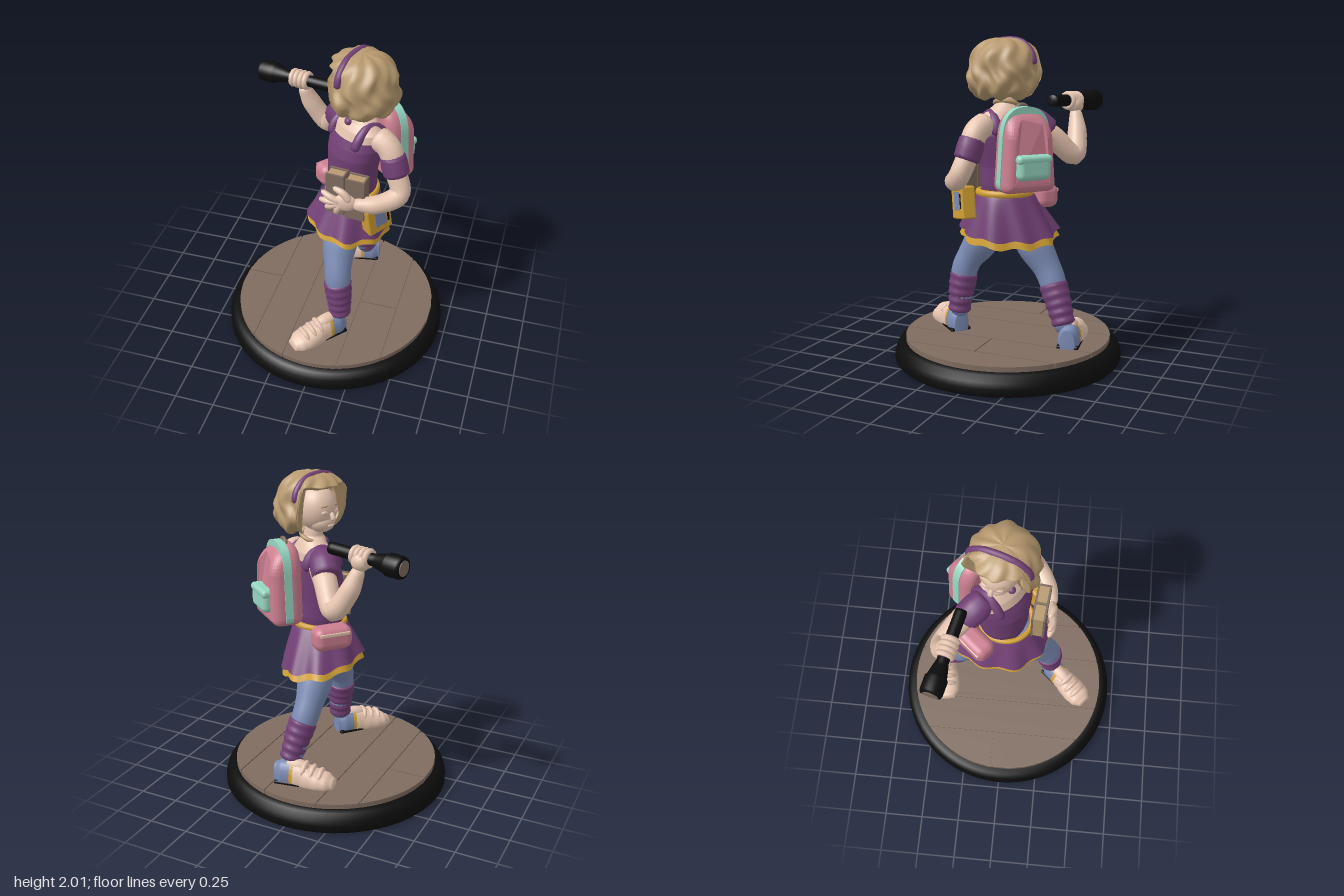
import * as THREE from 'three';
import { mergeVertices } from 'three/addons/utils/BufferGeometryUtils.js';
import { RoundedBoxGeometry } from 'three/addons/geometries/RoundedBoxGeometry.js';
import { ParametricGeometry } from 'three/addons/geometries/ParametricGeometry.js';

const paint = (name, color) => Object.assign(
  new THREE.MeshStandardMaterial({ color, side: THREE.DoubleSide }), { name });
const purple = paint('purple', 0x724075), blue = paint('denim blue', 0x7a8ab2), skin = paint('skin', 0xe6c5b0),
  hairTan = paint('hair tan', 0xb89a70), pink = paint('pink', 0xcc7f90), mint = paint('mint', 0x96d6c0),
  yellow = paint('yellow', 0xd3a133), brown = paint('wood brown', 0x7f6c60), black = paint('black', 0x0c0c0c);

const V = (p) => new THREE.Vector3(...p);
function add(parent, name, geo, mat, pos = [0, 0, 0], rot = [0, 0, 0], scale = [1, 1, 1]) {
  const m = new THREE.Mesh(geo, mat);
  m.name = name;
  m.position.set(...pos); m.rotation.set(...rot); m.scale.set(...scale);
  parent.add(m);
  return m;
}
function group(parent, name, pos, yaw) {
  const g = new THREE.Group();
  g.name = name; g.position.set(...pos); g.rotation.y = yaw;
  parent.add(g);
  return g;
}
// Smooth closed surface: u runs around, v runs along
function surface(fn, nu, nv) {
  const g = new ParametricGeometry(fn, nu, nv);
  g.deleteAttribute('uv'); g.deleteAttribute('normal');
  const m = mergeVertices(g, 1e-5);
  m.computeVertexNormals();
  return m;
}
// Value at t from an evenly spaced list, eased between entries
function mix(list, t) {
  const k = Math.min(t, 0.9999) * (list.length - 1), i = Math.floor(k), f = k - i;
  return list[i] + (list[i + 1] - list[i]) * f * f * (3 - 2 * f);
}
// Round-ended tube of changing thickness
function limb(points, radii, n = 24, sides = 16) {
  const curve = new THREE.CatmullRomCurve3(points.map(V));
  const fr = curve.computeFrenetFrames(n), c = curve.getSpacedPoints(n);
  return surface((u, v, p) => {
    const k = Math.round(v * n), e = 1 - Math.min(k, n - k, 2) / 2;
    const r = mix(radii, v) * Math.sqrt(1 - e * e), a = u * Math.PI * 2;
    p.copy(c[k]).addScaledVector(fr.normals[k], r * Math.cos(a)).addScaledVector(fr.binormals[k], r * Math.sin(a));
  }, sides, n);
}
// Stacked ellipses: rows of [y, half width, half depth, side shift, depth shift]
function stack(rows, n = 24) {
  const col = (i, v) => mix(rows.map((r) => r[i]), v);
  return surface((u, v, p) => {
    const a = u * Math.PI * 2;
    p.set(col(3, v) + col(1, v) * Math.sin(a), col(0, v), col(4, v) + col(2, v) * Math.cos(a));
  }, 32, n);
}

function buildBase(g) {
  const rim = [[0, 0], [0.7, 0], [0.714, 0.015], [0.714, 0.05], [0.705, 0.085], [0.68, 0.122], [0.64, 0.127], [0, 0.127]];
  add(g, 'baseRim', new THREE.LatheGeometry(rim.map((p) => new THREE.Vector2(...p)), 72), black);
  add(g, 'floorBed', new THREE.CylinderGeometry(0.64, 0.64, 0.027, 64), brown, [0, 0.138, 0]);
  const R = 0.645, gap = 0.004;
  const planks = [[-0.645, -0.4, -1, -0.06], [-0.645, -0.4, -0.06, 1], [-0.4, -0.17, -1, 1], [-0.17, 0.18, -1, 1],
    [0.18, 0.43, -1, 0.03], [0.18, 0.43, 0.03, 1], [0.43, 0.645, -1, 1]];
  for (const [x0, x1, z0, z1] of planks) {
    const edge = (s) => Array.from({ length: 13 }, (_, i) => {
      const x = x0 + gap + (x1 - x0 - 2 * gap) * i / 12;
      const z = THREE.MathUtils.clamp(s * Math.sqrt(R * R - x * x), z0 + gap, z1 - gap);
      return new THREE.Vector2(x, -z);
    });
    const shape = new THREE.Shape([...edge(1), ...edge(-1).reverse()]);
    add(g, 'plank', new THREE.ExtrudeGeometry(shape, { depth: 0.03, bevelEnabled: false }), brown, [0, 0.13, 0], [-Math.PI / 2, 0, 0]);
  }
}

// Shoe with toe along +z, split into colour bands
function buildShoe(g, name, pos, yaw) {
  const s = group(g, name, pos, yaw);
  const W = [0.045, 0.066, 0.066, 0.07, 0.08, 0.084, 0.078, 0.045], H = [0.12, 0.14, 0.14, 0.135, 0.115, 0.095, 0.08, 0.05];
  const band = (part, z0, z1, mat, grow) => add(s, part, surface((u, v, p) => {
    const e = v < 0.04 || v > 0.96 ? 0 : 1, z = z0 + (z1 - z0) * THREE.MathUtils.clamp((v - 0.04) / 0.92, 0, 1);
    const t = (z + 0.18) / 0.38, a = -u * Math.PI * 2, c = Math.cos(a), q = Math.sin(a);
    p.set(e * grow * mix(W, t) * Math.sign(c) * Math.abs(c) ** 0.8, e * Math.max(0, grow * mix(H, t) * (0.3 + 0.7 * q)), z);
  }, 24, 24), mat);
  band('shoeHeel', -0.18, -0.07, blue, 1);
  band('shoeStripe', -0.075, -0.055, yellow, 1.015);
  band('shoeToe', -0.06, 0.2, skin, 1);
  add(s, 'shoeTongue', limb([[0, 0.125, -0.11], [0, 0.115, -0.04], [0, 0.095, 0.04]], [0.036, 0.042, 0.035], 14, 14), skin);
  add(s, 'shoeSole', new RoundedBoxGeometry(0.134, 0.022, 0.17, 2, 0.009), black, [0, 0.009, -0.087]);
  for (let i = 0; i < 3; i++) {
    const z = 0.005 + i * 0.05, y = 0.125 - i * 0.016;
    add(s, 'shoeStrap', limb([[-0.065, y - 0.045, z], [-0.03, y, z + 0.01], [0.03, y, z + 0.01], [0.065, y - 0.045, z]],
      [0.013, 0.016, 0.013], 10, 8), skin);
  }
}

function buildLegs(g) {
  add(g, 'leftLeg', limb([[0.09, 0.92, 0.04], [0.07, 0.74, 0.155], [0.085, 0.59, 0.25], [0.1, 0.43, 0.275], [0.11, 0.24, 0.29]],
    [0.1, 0.11, 0.084, 0.075, 0.055]), blue);
  add(g, 'rightLeg', limb([[0.06, 0.92, -0.09], [0.045, 0.74, -0.2], [0.05, 0.58, -0.3], [0.08, 0.42, -0.365], [0.11, 0.22, -0.43]],
    [0.1, 0.108, 0.084, 0.072, 0.055]), blue);
  const ribs = [0.082, 0.088, 0.084, 0.087, 0.079, 0.082, 0.073, 0.077, 0.068, 0.072, 0.064];
  add(g, 'leftLegWarmer', limb([[0.085, 0.545, 0.262], [0.1, 0.42, 0.278], [0.11, 0.28, 0.29]], ribs, 40), purple);
  add(g, 'rightLegWarmer', limb([[0.06, 0.53, -0.322], [0.085, 0.41, -0.372], [0.11, 0.28, -0.42]], ribs, 40), purple);
  buildShoe(g, 'leftShoe', [0.005, 0.158, 0.4], -0.73);
  buildShoe(g, 'rightShoe', [0.01, 0.158, -0.435], -1.4);
}

function buildSkirt(g) {
  // Flared cone with folds, hanging lower and straighter at the back
  const flare = (bottom, grow) => surface((u, v, p) => {
    const a = u * Math.PI * 2, w = 1 - v, back = Math.max(0, Math.cos(a - 2.36)) ** 3;
    const f = (0.147 + 0.04 * Math.sqrt(w) + 0.082 * w + 0.012 * w * Math.sin(9 * a) + 0.006 * w * Math.sin(5 * a + 1) - 0.035 * w * back) * grow;
    const x = 0.1 - 0.015 * w + f * Math.sin(a) * (1 - 0.05 * w), z = -0.02 - 0.03 * w + f * Math.cos(a) * (1.04 + 0.1 * w);
    p.set(x, 1.09 + (bottom - 1.09) * w + w * (0.05 * z - 0.12 * (x - 0.08) + 0.008 * Math.cos(9 * a) - 0.01 * back), z);
  }, 96, 14);
  add(g, 'skirt', flare(0.85, 1), purple);
  add(g, 'skirtHem', flare(0.805, 0.985), yellow);
  add(g, 'belt', new THREE.TorusGeometry(0.153, 0.016, 10, 40), yellow, [0.1, 1.075, -0.02], [Math.PI / 2, 0.04, 0], [1, 1.06, 1.4]);
}

function buildTorso(g) {
  const t = group(g, 'torso', [0.11, 0, -0.05], -0.686);
  add(t, 'bodice', stack([[1.04, 0.145, 0.135, 0, 0.02], [1.13, 0.161, 0.146, 0, 0.02], [1.24, 0.165, 0.145, 0, 0.02],
    [1.36, 0.182, 0.15, 0.01, 0.015], [1.43, 0.19, 0.14, 0.012, 0.005], [1.485, 0.184, 0.122, 0.012, 0]]), purple);
  add(t, 'shouldersAndNeck', stack([[1.36, 0.165, 0.125, 0.01, 0.005], [1.45, 0.185, 0.12, 0.012, 0], [1.53, 0.178, 0.105, 0.015, -0.01],
    [1.575, 0.125, 0.08, 0.015, -0.015], [1.62, 0.06, 0.058, 0.015, -0.01], [1.72, 0.052, 0.054, 0.015, 0]]), skin);
  for (const s of [-1, 1]) {
    add(t, 'dressStrap', limb([[0.012 + s * 0.115, 1.43, 0.108], [0.012 + s * 0.12, 1.51, 0.074], [0.012 + s * 0.108, 1.56, -0.01],
      [0.012 + s * 0.115, 1.51, -0.088], [0.012 + s * 0.12, 1.43, -0.108]], [0.03, 0.028, 0.028, 0.03, 0.03], 20, 10), purple);
  }
  add(g, 'choker', new THREE.TorusGeometry(0.073, 0.013, 10, 32), hairTan, [0.13, 1.61, -0.05], [Math.PI / 2, 0.38, 0]);
  add(g, 'pendant', new THREE.SphereGeometry(0.024, 14, 10), purple, [0.08, 1.572, 0.015]);

  // Backpack, its outer face curving in towards the top
  const pack = group(t, 'backpack', [0.015, 1.12, -0.29], 0);
  const sh = new THREE.Shape();
  sh.moveTo(-0.12, 0); sh.lineTo(0.12, 0); sh.quadraticCurveTo(0.168, 0, 0.168, 0.05); sh.lineTo(0.15, 0.32);
  sh.bezierCurveTo(0.138, 0.45, 0.08, 0.485, 0, 0.485); sh.bezierCurveTo(-0.08, 0.485, -0.138, 0.45, -0.15, 0.32);
  sh.lineTo(-0.168, 0.05); sh.quadraticCurveTo(-0.168, 0, -0.12, 0);
  const body = new THREE.ExtrudeGeometry(sh, { depth: 0.08, bevelThickness: 0.06, bevelSize: 0.055, bevelOffset: -0.055, bevelSegments: 7, curveSegments: 16 });
  const bp = body.attributes.position;
  for (let i = 0; i < bp.count; i++) {
    if (bp.getZ(i) < 0.04) bp.setZ(i, bp.getZ(i) + 3 * Math.max(0, bp.getY(i) - 0.3) ** 2);
  }
  body.computeVertexNormals();
  add(pack, 'packBody', body, pink, [0, 0, 0.015]);
  add(pack, 'packTrim', new THREE.ExtrudeGeometry(sh, { depth: 0.048, bevelEnabled: false, curveSegments: 16 }), mint, [0, 0.008, 0.03], [0, 0, 0], [1.03, 1, 1]);
  add(pack, 'packPocket', new RoundedBoxGeometry(0.21, 0.14, 0.085, 5, 0.035), mint, [0, 0.15, -0.045]);
  add(pack, 'packPocketFlap', new RoundedBoxGeometry(0.22, 0.05, 0.09, 4, 0.022), mint, [0, 0.2, -0.045]);
  add(pack, 'packHandle', new THREE.TorusGeometry(0.04, 0.013, 8, 20, Math.PI), brown, [0, 0.46, 0.09]);
}

function buildArms(g) {
  // Raised right arm
  add(g, 'rightArm', limb([[0.03, 1.48, -0.15], [-0.06, 1.41, -0.26], [-0.165, 1.29, -0.37], [-0.25, 1.4, -0.36], [-0.31, 1.56, -0.325]],
    [0.075, 0.07, 0.064, 0.06, 0.038], 36), skin);
  add(g, 'rightSleeve', limb([[0.05, 1.525, -0.12], [-0.01, 1.49, -0.18], [-0.065, 1.425, -0.25]], [0.07, 0.088, 0.085], 14), purple);
  // Flashlight with the hand wrapped around it
  const tail = V([-0.09, 1.62, -0.25]), tip = V([-0.582, 1.597, -0.365]);
  const light = group(g, 'flashlight', tail.toArray(), 0);
  light.quaternion.setFromUnitVectors(V([0, 1, 0]), tip.clone().sub(tail).normalize());
  const prof = [[0, 0], [0.034, 0], [0.036, 0.02], [0.036, 0.31], [0.044, 0.34], [0.058, 0.4], [0.066, 0.41], [0.066, 0.49], [0.06, 0.507], [0, 0.507]];
  add(light, 'flashlightBody', new THREE.LatheGeometry(prof.map((p) => new THREE.Vector2(...p)), 28), black);
  add(light, 'flashlightLens', new THREE.CylinderGeometry(0.045, 0.045, 0.006, 24), brown, [0, 0.508, 0]);
  for (let i = 0; i < 4; i++) {
    add(light, 'rightFinger', new THREE.TorusGeometry(0.042, 0.017, 8, 20), skin, [0, 0.18 + i * 0.031, 0], [Math.PI / 2, 0, i * 0.05]);
  }
  add(g, 'rightPalm', new THREE.SphereGeometry(0.055, 18, 14), skin, [-0.31, 1.585, -0.325], [0, -0.2, 0], [1.05, 1, 0.9]);

  // Left arm folded across the books
  add(g, 'leftArm', limb([[0.24, 1.51, 0.02], [0.335, 1.46, 0.055], [0.385, 1.33, 0.085], [0.425, 1.2, 0.13], [0.32, 1.16, 0.21], [0.17, 1.165, 0.26]],
    [0.075, 0.072, 0.064, 0.062, 0.056, 0.036], 36), skin);
  add(g, 'leftSleeve', limb([[0.355, 1.44, 0.068], [0.375, 1.37, 0.077], [0.4, 1.29, 0.095]], [0.074, 0.08, 0.077], 14), purple);
  add(g, 'leftPalm', new THREE.SphereGeometry(0.058, 18, 14), skin, [0.13, 1.165, 0.258], [0, 0.1, 0], [1.25, 1, 0.5]);
  for (const [x, y] of [[-0.02, 1.22], [-0.035, 1.155], [0.005, 1.1], [0.07, 1.065]]) {
    add(g, 'leftFinger', limb([[0.11, 1.165, 0.262], [(x + 0.1) / 2, (y + 1.175) / 2, 0.268], [x, y, 0.245]], [0.024, 0.021, 0.015], 12, 8), skin);
  }
  add(g, 'leftThumb', limb([[0.16, 1.18, 0.262], [0.12, 1.235, 0.265], [0.05, 1.255, 0.245]], [0.026, 0.022, 0.015], 12, 8), skin);
  const books = group(g, 'books', [0.125, 1.175, 0.19], -0.1);
  [[-0.065, 0.115, 0.01], [0.06, 0.12, 0]].forEach(([x, w, dy]) => {
    for (const s of [-1, 1]) add(books, 'bookCover', new THREE.BoxGeometry(w, 0.28, 0.012), brown, [x, dy, s * 0.036]);
    add(books, 'bookPages', new THREE.BoxGeometry(w - 0.012, 0.265, 0.062), hairTan, [x, dy, 0]);
    add(books, 'bookSpine', new THREE.BoxGeometry(0.01, 0.28, 0.072), brown, [x + w / 2 - 0.005, dy, 0]);
  });
}

function buildPouches(g) {
  const player = group(g, 'tapePlayer', [0.295, 1.03, 0.16], 0.85);
  player.rotation.z = 0.15;
  add(player, 'playerBody', new RoundedBoxGeometry(0.165, 0.195, 0.09, 3, 0.012), yellow);
  add(player, 'playerWindow', new THREE.BoxGeometry(0.075, 0.11, 0.008), blue, [0.005, 0.01, 0.044]);
  add(player, 'playerButton', new THREE.BoxGeometry(0.014, 0.09, 0.008), black, [0.058, 0.01, 0.043]);
  const pouch = group(g, 'hipPouch', [-0.065, 1.05, -0.195], Math.atan2(-0.75, -0.65));
  add(pouch, 'pouchBody', new RoundedBoxGeometry(0.24, 0.145, 0.14, 5, 0.05), pink);
  add(pouch, 'pouchZip', new RoundedBoxGeometry(0.19, 0.022, 0.014, 2, 0.005), skin, [0, 0.034, 0.064]);
}

function buildHead(g) {
  const h = group(g, 'head', [0.148, 1.8, -0.037], -1.876);
  add(h, 'face', new THREE.SphereGeometry(1, 32, 24), skin, [0, -0.01, 0.05], [0, 0, 0], [0.115, 0.135, 0.125]);
  add(h, 'jaw', new THREE.SphereGeometry(1, 24, 18), skin, [0, -0.085, 0.09], [0, 0, 0], [0.08, 0.066, 0.08]);
  add(h, 'nose', limb([[0, -0.02, 0.165], [0, -0.05, 0.183], [0, -0.068, 0.186]], [0.012, 0.015, 0.018], 10, 10), skin);
  add(h, 'lips', new THREE.SphereGeometry(1, 14, 8), skin, [0, -0.1, 0.166], [0, 0, 0], [0.026, 0.01, 0.01]);
  for (const s of [-1, 1]) {
    add(h, 'eyelid', new THREE.SphereGeometry(1, 14, 8), skin, [s * 0.046, -0.02, 0.161], [0, s * 0.35, 0], [0.022, 0.012, 0.01]);
    add(h, 'eyebrow', new THREE.SphereGeometry(1, 14, 8), hairTan, [s * 0.046, 0.018, 0.16], [0, s * 0.35, s * -0.1], [0.026, 0.006, 0.007]);
  }
  // Wavy bob, puffed and cut short above the face
  const prof = new THREE.SplineCurve([[0, 0.2], [0.07, 0.193], [0.13, 0.168], [0.183, 0.11], [0.203, 0.03], [0.21, -0.05],
    [0.194, -0.105], [0.16, -0.14], [0.115, -0.145], [0.085, -0.09]].map((p) => new THREE.Vector2(...p)));
  add(h, 'hair', surface((u, v, p) => {
    const a = (u - 0.5) * Math.PI * 2, w = 1 - v, open = 1 - THREE.MathUtils.smoothstep(Math.abs(a), 0.98, 1.25);
    const q = prof.getPoint(w * (1 - 0.67 * open)), low = Math.min(1, w * 2);
    const tuck = open * THREE.MathUtils.smoothstep(w, 0.88, 1) * 0.35;
    const curl = 1 + low * (0.048 * Math.sin(11 * a + 2.2 * Math.sin(24 * q.y)) + 0.038 * Math.sin(5 * a - 30 * q.y) + 0.12 * open);
    const r = q.x * curl * (1 - tuck);
    p.set(r * Math.sin(a), q.y + 0.012 * low * Math.sin(8 * a) * (1 - open), r * Math.cos(a));
  }, 120, 44), hairTan);
  // Headband set into the hair, over the crown from ear to ear
  const side = [[0.184, 0.04], [0.168, 0.106], [0.117, 0.158], [0.055, 0.181]];
  const arc = [...side.map(([x, y]) => [-x, y, 0.055]), ...side.reverse().map(([x, y]) => [x, y, 0.055])];
  add(h, 'headband', limb(arc, [0.022, 0.022, 0.022], 40, 10), purple);
}

export function createModel() {
  const g = new THREE.Group();
  g.name = 'explorerFigure';
  [buildBase, buildLegs, buildSkirt, buildTorso, buildArms, buildPouches, buildHead].forEach((build) => build(g));
  return g;
}
